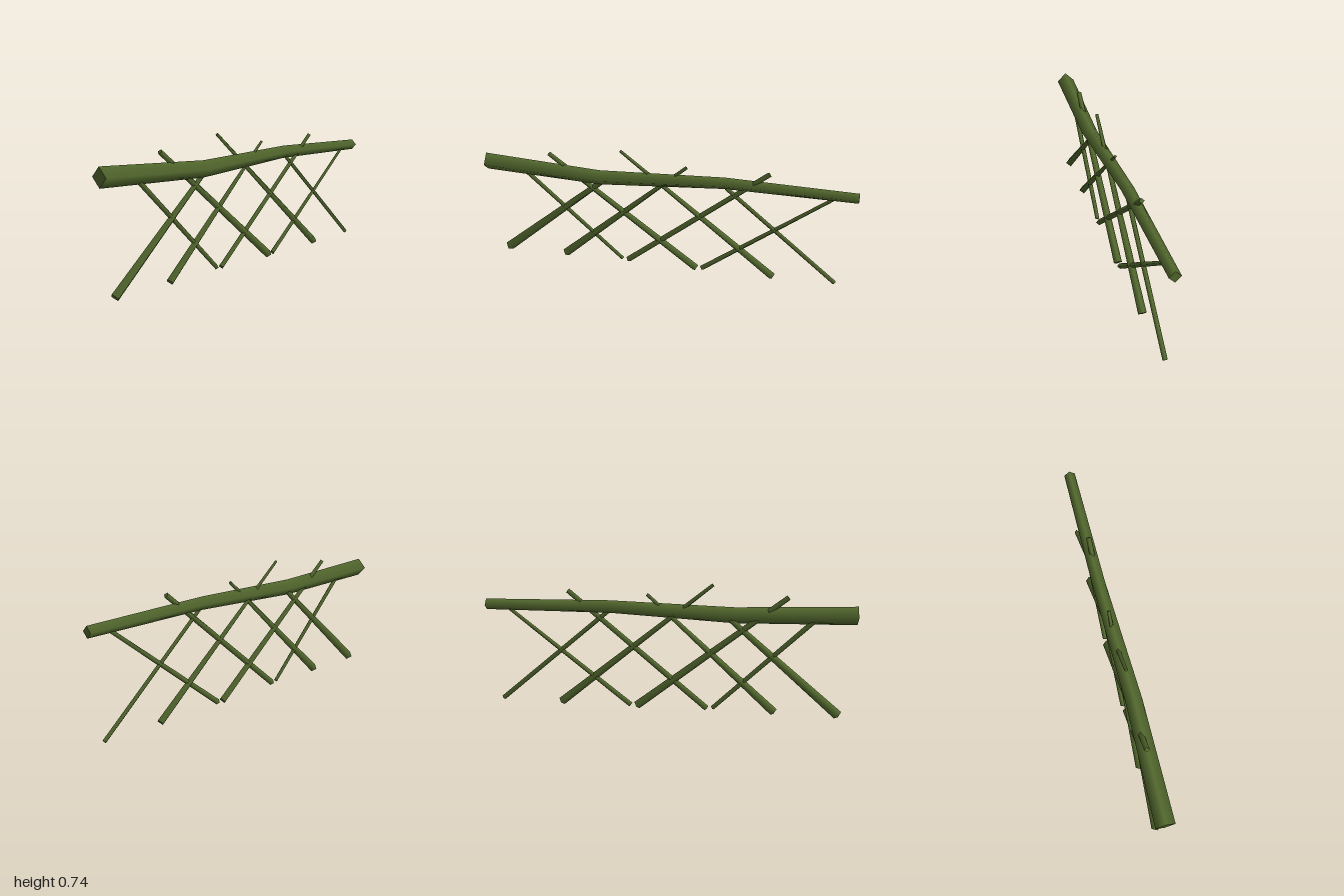
import * as THREE from 'three';

const wood = new THREE.MeshStandardMaterial({ color: 0x556b2f });
wood.name = 'olive wood';

// Four-sided pole through stations [x, y, z, radius], diamond in cross-section
function pole(name, stations) {
  const n = stations.length - 1;
  const geo = new THREE.CylinderGeometry(1, 1, 1, 4, n);
  const pos = geo.attributes.position, nor = geo.attributes.normal;
  const points = stations.map(s => new THREE.Vector3(s[0], s[1], s[2]));
  for (let i = 0; i < pos.count; i++) {
    const row = Math.round((0.5 - pos.getY(i)) * n);
    const along = points[Math.max(row - 1, 0)].clone().sub(points[Math.min(row + 1, n)]);
    along.z = 0;
    // End cuts of a bent pole stay upright
    if (n > 1) along.set(-1, 0, 0);
    along.normalize();
    const frame = new THREE.Matrix4().makeBasis(
      new THREE.Vector3(along.y, -along.x, 0), along, new THREE.Vector3(0, 0, 1));
    const r = stations[row][3];
    const p = new THREE.Vector3(pos.getX(i) * r, 0, pos.getZ(i) * r).applyMatrix4(frame).add(points[row]);
    const v = new THREE.Vector3().fromBufferAttribute(nor, i).applyMatrix4(frame);
    pos.setXYZ(i, p.x, p.y, p.z);
    nor.setXYZ(i, v.x, v.y, v.z);
  }
  const mesh = new THREE.Mesh(geo, wood);
  mesh.name = name;
  return mesh;
}

export function createModel() {
  const group = new THREE.Group();
  group.name = 'latticeFence';

  // Slightly bent top rail
  group.add(pole('topRail', [
    [-1, 0.597, -0.008, 0.05],
    [-0.36, 0.572, 0.008, 0.044],
    [0.31, 0.601, -0.01, 0.035],
    [1, 0.591, -0.006, 0.03],
  ]));

  // Crossing sticks: upper x, y, radius, then lower x, y, radius
  const z = -0.005;
  const sticks = {
    risingStick: [
      [-0.34, 0.55, 0.015, -0.935, 0.03, 0.027],
      [0.108, 0.675, 0.009, -0.59, 0.03, 0.024],
      [0.54, 0.682, 0.014, -0.22, 0.033, 0.017],
      [0.89, 0.585, 0.01, 0.205, 0.032, 0.015],
    ],
    fallingStick: [
      [-0.785, 0.565, 0.014, -0.253, 0.036, 0.012],
      [-0.64, 0.682, 0.014, 0.17, 0.03, 0.023],
      [-0.245, 0.738, 0.009, 0.6, 0.032, 0.023],
      [0.32, 0.575, 0.012, 0.94, 0.037, 0.013],
    ],
  };
  for (const [name, list] of Object.entries(sticks)) {
    list.forEach(([x1, y1, r1, x2, y2, r2], i) =>
      group.add(pole(name + (i + 1), [[x1, y1, z, r1], [x2, y2, z, r2]])));
  }
  return group;
}
